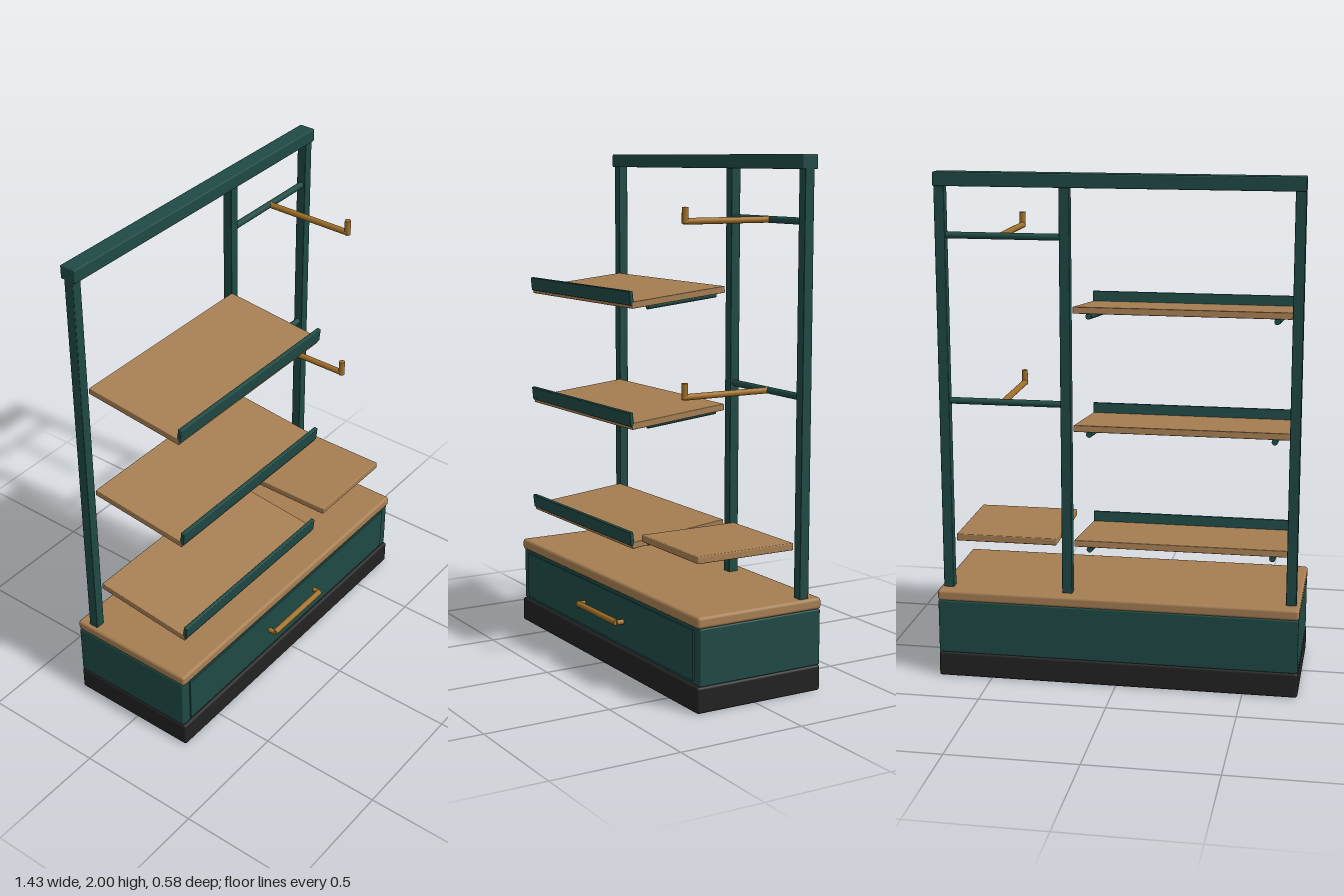
import * as THREE from 'three';
import { RoundedBoxGeometry } from 'three/addons/geometries/RoundedBoxGeometry.js';

const mat = (name, color) => {
  const m = new THREE.MeshStandardMaterial({ color });
  m.name = name;
  return m;
};

export function createModel() {
  const green = mat('dark green paint', 0x1f4a45);
  const wood = mat('oak wood', 0xa67e52);
  const brass = mat('brass', 0xa06f28);
  const black = mat('black plinth', 0x222222);

  const model = new THREE.Group();
  model.name = 'displayStand';

  const add = (parent, name, geometry, material) => {
    const mesh = new THREE.Mesh(geometry, material);
    mesh.name = name;
    parent.add(mesh);
    return mesh;
  };

  // Box given by its limits on each axis, with optional rounded edges
  const box = (parent, name, material, [x0, x1], [y0, y1], [z0, z1], r = 0) => {
    const size = [x1 - x0, y1 - y0, z1 - z0];
    const geometry = r ? new RoundedBoxGeometry(...size, 2, r) : new THREE.BoxGeometry(...size);
    const mesh = add(parent, name, geometry, material);
    mesh.position.set((x0 + x1) / 2, (y0 + y1) / 2, (z0 + z1) / 2);
    return mesh;
  };

  // Round bar between two points
  const rod = (parent, name, material, from, to, r) => {
    const a = new THREE.Vector3(...from), b = new THREE.Vector3(...to);
    const dir = b.clone().sub(a);
    const mesh = add(parent, name, new THREE.CylinderGeometry(r, r, dir.length(), 20), material);
    mesh.position.copy(a).add(b).multiplyScalar(0.5);
    mesh.quaternion.setFromUnitVectors(new THREE.Vector3(0, 1, 0), dir.normalize());
    return mesh;
  };

  // Base cabinet
  box(model, 'plinth', black, [-0.715, 0.715], [0, 0.1], [-0.29, 0.255], 0.01);
  box(model, 'cabinet', green, [-0.713, 0.713], [0.1, 0.316], [-0.288, 0.243], 0.005);
  box(model, 'drawerFront', green, [-0.67, 0.67], [0.113, 0.303], [0.24, 0.249]);
  box(model, 'counter', wood, [-0.715, 0.715], [0.316, 0.36], [-0.292, 0.253], 0.012);

  // Drawer handle
  const handle = new THREE.Group();
  handle.name = 'drawerHandle';
  model.add(handle);
  rod(handle, 'handleBar', brass, [-0.157, 0.207, 0.277], [0.157, 0.207, 0.277], 0.012);
  for (const x of [-0.157, 0.157])
    rod(handle, 'handlePost', brass, [x, 0.207, 0.245], [x, 0.207, 0.277], 0.01);

  // Frame
  for (const x of [-0.68, 0.2, 0.68])
    box(model, 'framePost', green, [x - 0.02, x + 0.02], [0.355, 1.955], [-0.242, -0.202], 0.003);
  box(model, 'topBeam', green, [-0.7, 0.7], [1.947, 2], [-0.258, -0.19], 0.005);

  // Tilted shelves with front lips and support bars
  for (const y of [0.531, 0.996, 1.459]) {
    const shelf = new THREE.Group();
    shelf.name = 'tiltedShelf';
    shelf.position.set(-0.24, y, 0.008);
    shelf.rotation.x = 0.105;
    model.add(shelf);
    box(shelf, 'shelfBoard', wood, [-0.418, 0.418], [-0.013, 0.013], [-0.21, 0.21], 0.003);
    box(shelf, 'shelfLip', green, [-0.418, 0.418], [0, 0.054], [0.2, 0.216], 0.003);
    for (const x of [-0.36, 0.358])
      rod(shelf, 'shelfSupport', green, [x, -0.023, -0.2], [x, -0.023, 0.11], 0.012);
  }

  // Flat side shelf
  box(model, 'sideShelf', wood, [0.25, 0.655], [0.54, 0.568], [-0.202, 0.218], 0.004);

  // Cross rails with upturned hanging arms
  for (const y of [1.117, 1.76]) {
    const hanger = new THREE.Group();
    hanger.name = 'hangingRail';
    model.add(hanger);
    rod(hanger, 'crossRail', green, [0.21, y, -0.222], [0.67, y, -0.222], 0.013);
    rod(hanger, 'hangingArm', brass, [0.45, y, -0.215], [0.45, y, 0.155], 0.012);
    rod(hanger, 'armTip', brass, [0.45, y - 0.008, 0.15], [0.45, y + 0.052, 0.15], 0.012);
  }

  return model;
}
